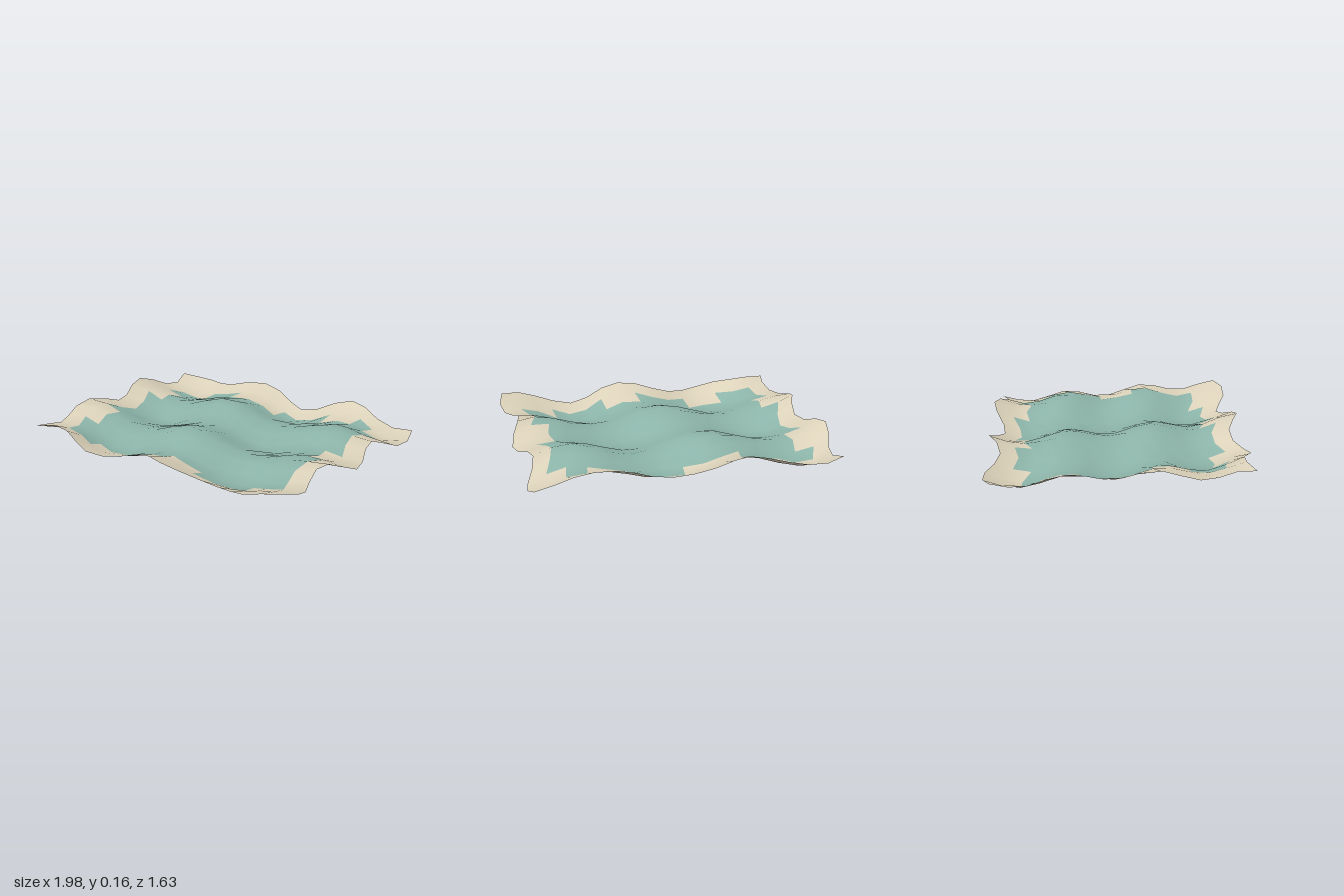
import * as THREE from 'three';

const COLS = 16, ROWS = 14, WIDTH = 1.9, DEPTH = 1.54;

// Cells of the outer ring that the teal field reaches into
const BACK = [3, 4, 8, 9, 10, 13];
const FRONT = [1, 2, 5, 6, 7, 10, 11, 12];
const LEFT_GAPS = [3, 4, 9, 10];
const RIGHT_GAPS = [6, 7];

function isField(col, row) {
  if (row < 1 || row > 12 || col < 1 || col > 14) return false;
  if (row === 1) return BACK.includes(col);
  if (row === 12) return FRONT.includes(col);
  if (col === 1) return !LEFT_GAPS.includes(row);
  if (col === 14) return !RIGHT_GAPS.includes(row);
  return true;
}

// Crossing waves, with a slightly lifted rim
function height(x, z, rim) {
  const alongX = 0.045 * Math.cos((2 * Math.PI * (x + 0.12 - 0.26 * z)) / 0.87);
  const alongZ = 0.03 * Math.cos((2 * Math.PI * (z - 0.235)) / 0.555);
  return alongX + alongZ + 0.015 * rim;
}

export function createModel() {
  const field = new THREE.MeshStandardMaterial({ color: 0x8cb4a9, side: THREE.DoubleSide });
  field.name = 'teal field';
  const border = new THREE.MeshStandardMaterial({ color: 0xdcd2ba, side: THREE.DoubleSide });
  border.name = 'cream border';

  // Sheet whose outline sways in plan and whose surface ripples
  const geo = new THREE.PlaneGeometry(WIDTH, DEPTH, COLS, ROWS).rotateX(-Math.PI / 2);
  const pos = geo.attributes.position;
  for (let i = 0; i < pos.count; i++) {
    const x0 = pos.getX(i), z0 = pos.getZ(i);
    const x = x0 + 0.042 * Math.cos(9.7 * z0);
    const z = z0 + 0.045 * Math.cos(10.1 * (x0 - 0.15));
    const edge = Math.min(WIDTH / 2 - Math.abs(x0), DEPTH / 2 - Math.abs(z0));
    const rim = Math.max(0, 1 - edge / 0.2) ** 2;
    pos.setXYZ(i, x, height(x, z, rim), z);
  }

  // Sort the cells into field and border
  const source = Array.from(geo.index.array);
  const fieldFaces = [], borderFaces = [];
  for (let row = 0; row < ROWS; row++) {
    for (let col = 0; col < COLS; col++) {
      const start = (row * COLS + col) * 6;
      (isField(col, row) ? fieldFaces : borderFaces).push(...source.slice(start, start + 6));
    }
  }
  geo.setIndex([...fieldFaces, ...borderFaces]);
  geo.clearGroups();
  geo.addGroup(0, fieldFaces.length, 0);
  geo.addGroup(fieldFaces.length, borderFaces.length, 1);
  geo.computeVertexNormals();

  // Rest the lowest point on the ground
  geo.computeBoundingBox();
  geo.translate(0, -geo.boundingBox.min.y, 0);

  const sheet = new THREE.Mesh(geo, [field, border]);
  sheet.name = 'wavySheet';
  const model = new THREE.Group();
  model.name = 'rippledCloth';
  model.add(sheet);
  return model;
}
